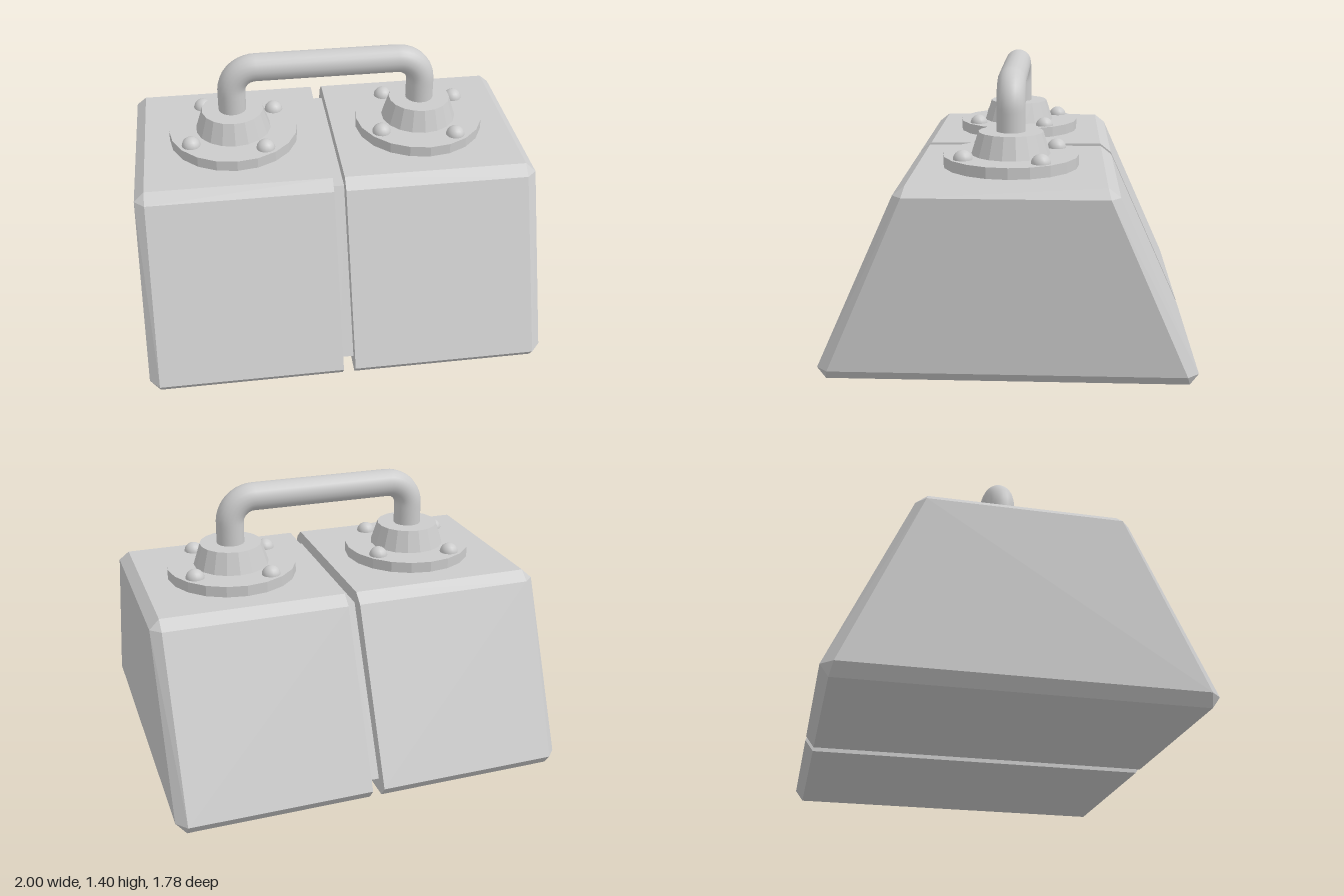
import * as THREE from 'three';
import { ConvexGeometry } from 'three/addons/geometries/ConvexGeometry.js';

const flat = new THREE.MeshStandardMaterial({ color: 0xcccccc, flatShading: true });
const smooth = new THREE.MeshStandardMaterial({ color: 0xcccccc });

function add(parent, name, geometry, material, x = 0, y = 0, z = 0) {
  const mesh = new THREE.Mesh(geometry, material);
  mesh.name = name;
  mesh.position.set(x, y, z);
  parent.add(mesh);
  return mesh;
}

// Convex block from sections [x, [[z, y], ...]], each mirrored front to back
function block(sections) {
  const points = [];
  for (const [x, profile] of sections)
    for (const [z, y] of profile)
      points.push(new THREE.Vector3(x, y, z), new THREE.Vector3(x, y, -z));
  return new ConvexGeometry(points);
}

export function createModel() {
  const model = new THREE.Group();
  model.name = 'weight';

  // Two chamfered trapezoid halves with a recessed core between them
  const bevelled = [[0.85, 0], [0.89, 0.055], [0.512, 0.89], [0.455, 0.935]];
  const endFace = [[0.835, 0.055], [0.467, 0.89]];
  const core = [[0.813, 0.07], [0.435, 0.87]];
  for (const s of [-1, 1])
    add(model, s > 0 ? 'leftHalf' : 'rightHalf',
      block([[s * 0.03, bevelled], [s * 0.95, bevelled], [s, endFace]]), flat);
  add(model, 'core', block([[-0.04, core], [0.04, core]]), flat);

  // Handle mounts: flange, tapered collar and four bolts
  const cx = 0.488;
  for (const s of [-1, 1]) {
    const mount = new THREE.Group();
    mount.name = s > 0 ? 'leftMount' : 'rightMount';
    mount.position.x = s * cx;
    model.add(mount);
    add(mount, 'flange', new THREE.CylinderGeometry(0.332, 0.332, 0.06, 20), flat, 0, 0.96, 0);
    add(mount, 'collar', new THREE.CylinderGeometry(0.158, 0.195, 0.115, 18), flat, 0, 1.0425, 0);
    for (let i = 0; i < 4; i++) {
      const a = 0.595 + i * Math.PI / 2;
      add(mount, 'bolt', new THREE.SphereGeometry(0.048, 16, 12), smooth,
        -Math.cos(a) * 0.268, 0.987, Math.sin(a) * 0.268);
    }
  }

  // Round bar handle with bent corners
  const top = 1.33, r = 0.125;
  const v = (x, y) => new THREE.Vector3(x, y, 0);
  const k = r * 0.448; // control offset for a circular bend
  const path = new THREE.CurvePath();
  path.add(new THREE.LineCurve3(v(-cx, 1.08), v(-cx, top - r)));
  path.add(new THREE.CubicBezierCurve3(v(-cx, top - r), v(-cx, top - k), v(-cx + k, top), v(-cx + r, top)));
  path.add(new THREE.LineCurve3(v(-cx + r, top), v(cx - r, top)));
  path.add(new THREE.CubicBezierCurve3(v(cx - r, top), v(cx - k, top), v(cx, top - k), v(cx, top - r)));
  path.add(new THREE.LineCurve3(v(cx, top - r), v(cx, 1.08)));
  add(model, 'handle', new THREE.TubeGeometry(path, 72, 0.071, 20), smooth);

  return model;
}
